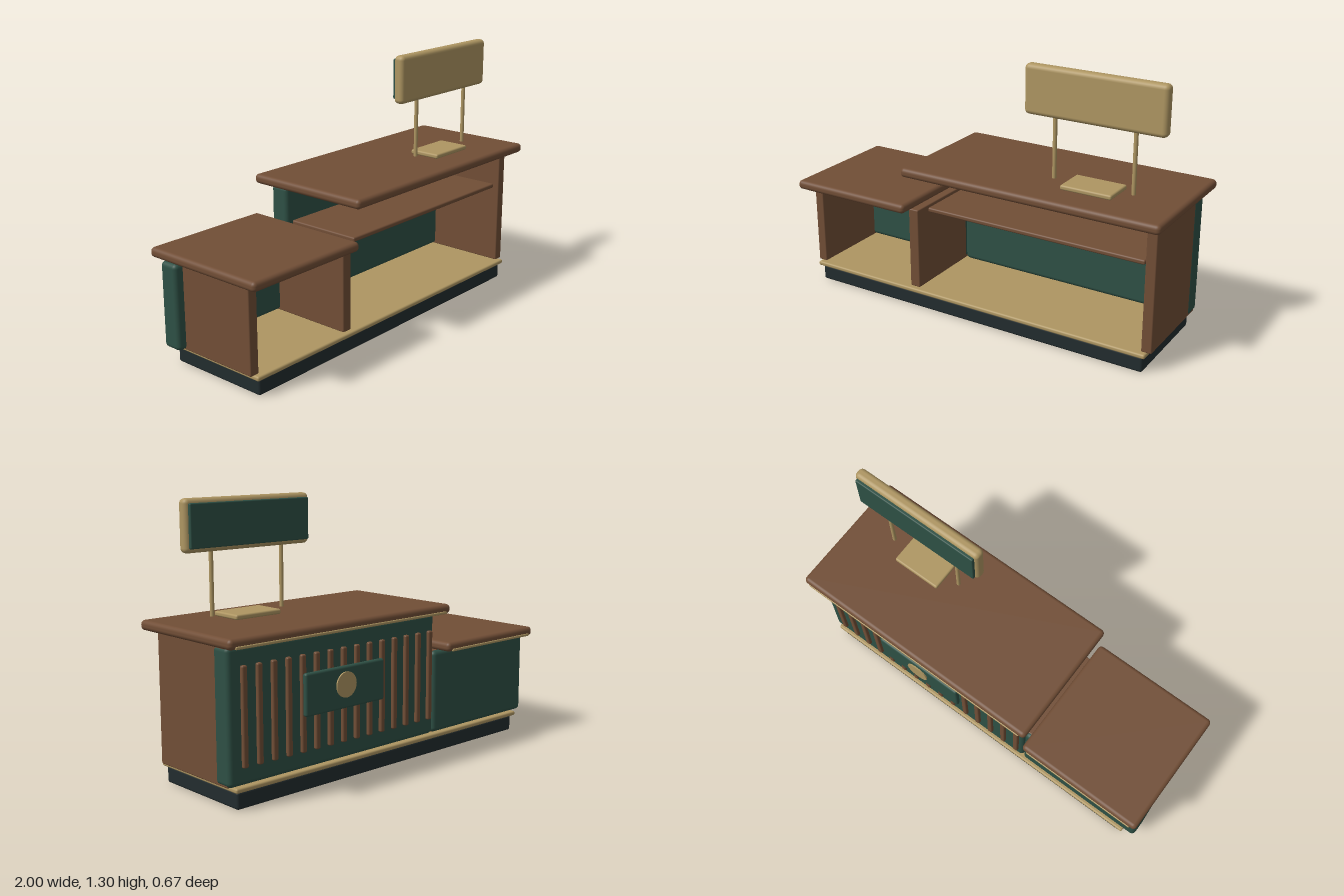
import * as THREE from 'three';
import { RoundedBoxGeometry } from 'three/addons/geometries/RoundedBoxGeometry.js';

const mat = (name, color) => {
  const m = new THREE.MeshStandardMaterial({ color });
  m.name = name;
  return m;
};

export function createModel() {
  const walnut = mat('walnut brown', 0x714e36);
  const green = mat('deep green', 0x2e5045);
  const brass = mat('brass', 0xae9662);
  const charcoal = mat('charcoal', 0x222c2e);

  const model = new THREE.Group();
  model.name = 'serviceCounter';

  const add = (name, geometry, material, x, y, z, parent = model) => {
    const mesh = new THREE.Mesh(geometry, material);
    mesh.name = name;
    mesh.position.set(x, y, z);
    parent.add(mesh);
    return mesh;
  };

  // Rounded box given by its extents along each axis
  const box = (name, material, [x0, x1], [y0, y1], [z0, z1], radius, parent) =>
    add(name, new RoundedBoxGeometry(x1 - x0, y1 - y0, z1 - z0, 3, radius), material,
      (x0 + x1) / 2, (y0 + y1) / 2, (z0 + z1) / 2, parent);

  // Base and cabinet floor
  box('plinth', charcoal, [-0.92, 0.92], [0, 0.08], [-0.262, 0.265], 0.012);
  box('cabinetFloor', brass, [-0.94, 0.935], [0.079, 0.102], [-0.277, 0.28], 0.009);

  // Customer-side panels
  box('tallBackPanel', green, [-0.3, 0.96], [0.102, 0.71], [-0.262, -0.16], 0.022);
  box('lowBackPanel', green, [-1, -0.302], [0.102, 0.515], [-0.262, -0.16], 0.022);

  // Upright side panels
  box('rightSidePanel', walnut, [0.905, 0.956], [0.1, 0.712], [-0.24, 0.252], 0.006);
  box('middlePanel', walnut, [-0.36, -0.305], [0.1, 0.517], [-0.24, 0.252], 0.006);
  box('leftSidePanel', walnut, [-0.957, -0.908], [0.1, 0.517], [-0.24, 0.252], 0.006);

  // Worktops and inner shelf
  box('tallWorktop', walnut, [-0.347, 0.996], [0.71, 0.757], [-0.33, 0.333], 0.02);
  box('lowWorktop', walnut, [-1, -0.336], [0.516, 0.563], [-0.33, 0.333], 0.02);
  box('innerShelf', walnut, [-0.26, 0.893], [0.513, 0.536], [-0.18, 0.23], 0.008);

  // Brass trim under the customer edge of each worktop
  box('tallTrim', brass, [-0.315, 0.965], [0.711, 0.725], [-0.333, -0.317], 0.005);
  box('lowTrim', brass, [-0.97, -0.365], [0.517, 0.531], [-0.333, -0.317], 0.005);

  // Vertical slats
  const slats = new THREE.Group();
  slats.name = 'slats';
  model.add(slats);
  const slatCount = 15;
  for (let i = 0; i < slatCount; i++) {
    const x = -0.26 + (1.14 * i) / (slatCount - 1);
    box('slat', walnut, [x - 0.014, x + 0.014], [0.182, 0.627], [-0.279, -0.255], 0.008, slats);
  }

  // Front plaque with a round medallion
  box('plaque', green, [0.085, 0.567], [0.35, 0.546], [-0.304, -0.277], 0.011);
  const medallion = add('medallion', new THREE.CylinderGeometry(0.06, 0.06, 0.01, 24), brass,
    0.33, 0.462, -0.306);
  medallion.rotation.x = Math.PI / 2;

  // Counter pad
  box('counterPad', brass, [0.438, 0.696], [0.757, 0.781], [0.015, 0.182], 0.009);

  // Raised sign board on two posts
  for (const x of [0.366, 0.766]) {
    add('signPost', new THREE.CylinderGeometry(0.01, 0.01, 0.31, 16), brass, x, 0.93, 0.1);
  }
  box('signBoard', brass, [0.215, 0.917], [1.065, 1.302], [0.071, 0.128], 0.022);
  box('signFace', green, [0.232, 0.9], [1.085, 1.282], [0.056, 0.076], 0.006);

  return model;
}
